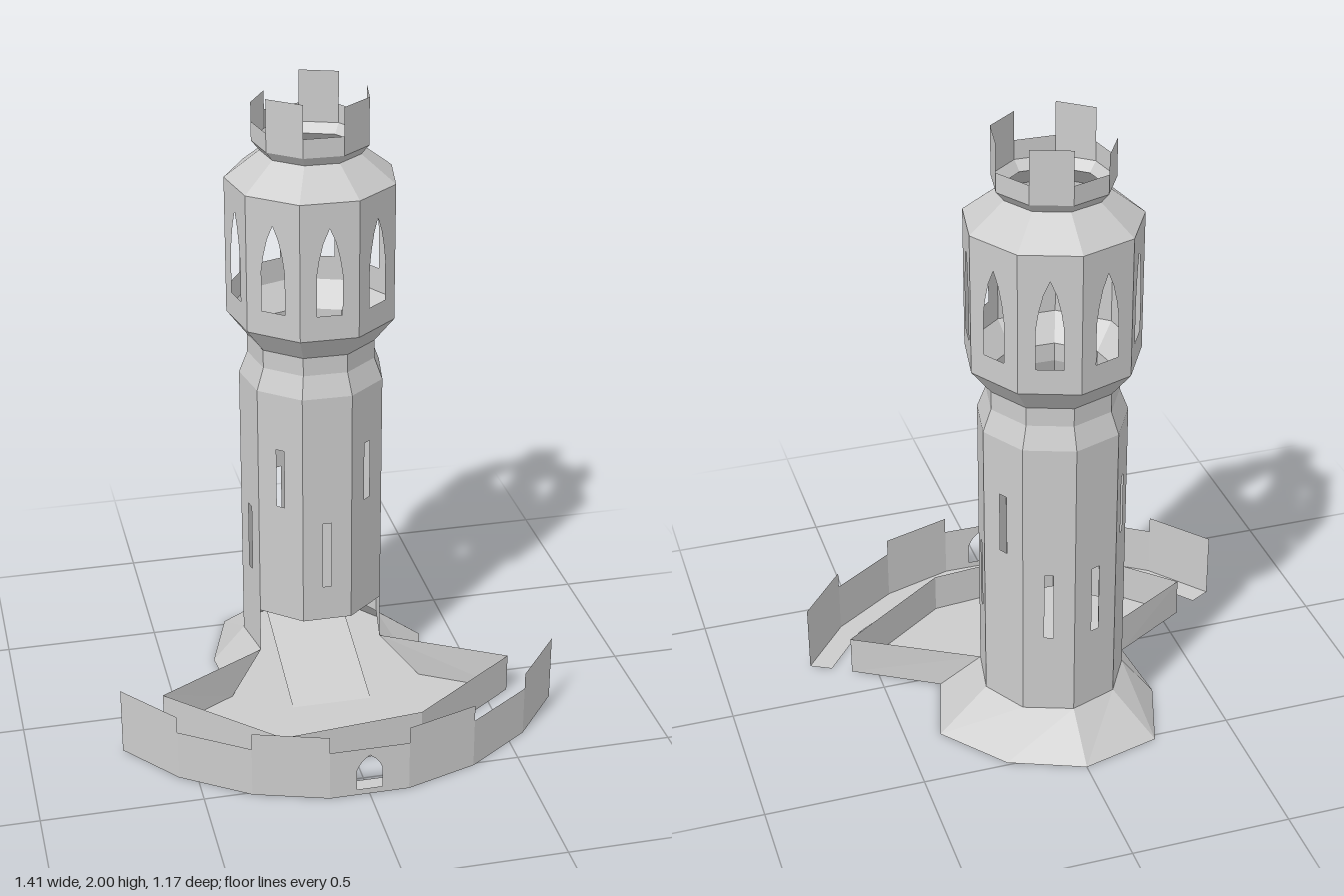
import * as THREE from 'three';

const SIDES = 9, STEP = Math.PI * 2 / SIDES, CZ = -0.22;
const mat = new THREE.MeshStandardMaterial({ color: 0xcccccc, flatShading: true, side: THREE.DoubleSide });

export function createModel() {
  const model = new THREE.Group();

  const add = (name, geometry, parent = model) => {
    const mesh = new THREE.Mesh(geometry, mat);
    mesh.name = name;
    parent.add(mesh);
    return mesh;
  };
  const group = (name) => {
    const g = new THREE.Group();
    g.name = name;
    model.add(g);
    return g;
  };
  const shapeOf = (pts) => new THREE.Shape(pts.map(([x, y]) => new THREE.Vector2(x, y)));
  const rect = (x0, x1, y0, y1) => [[x0, y0], [x1, y0], [x1, y1], [x0, y1]];

  // Flat panel with optional hole
  const panel = (halfWidth, y0, y1, hole) => {
    const s = shapeOf(rect(-halfWidth, halfWidth, y0, y1));
    if (hole) s.holes.push(shapeOf(hole));
    return new THREE.ShapeGeometry(s);
  };
  // Pointed arch outline
  const arch = (w, y0, spring, top) => [
    [-w, y0], [w, y0], [w, spring], [w * 0.8, spring + (top - spring) * 0.35],
    [w * 0.48, spring + (top - spring) * 0.7], [0, top],
    [-w * 0.48, spring + (top - spring) * 0.7], [-w * 0.8, spring + (top - spring) * 0.35], [-w, spring]];
  // Quad strip surface from four corners
  const quad = (a, b, c, d) => {
    const g = new THREE.BufferGeometry();
    g.setAttribute('position', new THREE.Float32BufferAttribute([...a, ...b, ...c, ...d], 3));
    g.setIndex([0, 1, 2, 0, 2, 3]);
    g.computeVertexNormals();
    return g;
  };

  // Angles are counted from the back; face i sits between corners i and i + 1
  const faceAngle = (i) => (i + 0.5) * STEP;
  const corner = (i, r, y) => [r * Math.sin(i * STEP), y, CZ - r * Math.cos(i * STEP)];
  const towerFace = (name, parent, i, r, y0, y1, hole) => {
    const a = faceAngle(i), ap = r * Math.cos(STEP / 2);
    const m = add(name, panel(r * Math.sin(STEP / 2), y0, y1, hole), parent);
    m.position.set(ap * Math.sin(a), 0, CZ - ap * Math.cos(a));
    m.rotation.y = Math.PI - a;
  };
  const ring = (name, r0, y0, r1, y1) => {
    const g = new THREE.CylinderGeometry(r1, r0, y1 - y0, SIDES, 1, true, Math.PI);
    add(name, g).position.set(0, (y0 + y1) / 2, CZ);
  };

  // Shaft: slits alternate in height, three front faces stop above the entrance
  const R = 0.232, shaft = group('shaft'), gallery = group('gallery'), parapet = group('parapet');
  const merlonTop = [2.0, 1.895, 1.985, 1.985, 1.895, 2.0, 1.895, 1.955, 1.895];
  for (let i = 0; i < SIDES; i++) {
    const low = Math.min(i, SIDES - 1 - i) % 2 === 0;
    const slit = low ? rect(-0.014, 0.014, 0.4, 0.63) : rect(-0.014, 0.014, 0.68, 0.88);
    towerFace('shaftWall', shaft, i, R, i >= 3 && i <= 5 ? 0.28 : 0.13, 1.07, slit);
    towerFace('galleryWall', gallery, i, 0.268, 1.28, 1.72, arch(0.04, 1.36, 1.49, 1.64));
    towerFace('parapetWall', parapet, i, 0.183, 1.835, merlonTop[i]);
  }

  // Sloping rings between the vertical stages
  ring('shaftShoulder', R, 1.07, 0.205, 1.14);
  ring('neck', 0.205, 1.14, 0.205, 1.2);
  ring('galleryCorbel', 0.205, 1.2, 0.268, 1.28);
  ring('galleryRoof', 0.268, 1.72, 0.158, 1.805);
  ring('parapetCorbel', 0.158, 1.805, 0.183, 1.835);

  // Rocky skirt around the foot, uneven, from corner -3 to corner 3
  const foot = [[-0.31, -0.045], [-0.33, -0.28], [-0.25, -0.52], [0, -0.585], [0.23, -0.49], [0.39, -0.29], [0.32, -0.04]];
  const skirt = group('skirt');
  for (let k = 0; k < 6; k++) {
    const [x0, z0] = foot[k], [x1, z1] = foot[k + 1];
    add('skirtFace', quad([x1, 0, z1], [x0, 0, z0], corner(k - 3, R, 0.13), corner(k - 2, R, 0.13)), skirt);
  }

  // Open terrace in front of the tower
  const H = 0.13;
  const rim = [[0.58, 0.115], [0.22, 0.375], [-0.235, 0.42], [-0.56, 0.1]];
  const terrace = group('terrace');
  const floor = add('terraceFloor', new THREE.ShapeGeometry(shapeOf([...foot, ...rim].map(([x, z]) => [x, -z]))), terrace);
  floor.rotation.x = -Math.PI / 2;
  const low = [foot[6], ...rim, foot[0]].map(([x, z]) => [x, 0, z]);
  const high = [corner(3, R, H), ...rim.map(([x, z]) => [x, H, z]), corner(-3, R, H)];
  for (let k = 0; k < 5; k++) add('terraceWall', quad(low[k + 1], low[k], high[k], high[k + 1]), terrace);

  // Entrance ramp running into the tower
  add('entranceRamp', quad([-0.13, 0, 0.065], [0.13, 0, 0.065], [0.13, H, -0.395], [-0.13, H, -0.395]));

  // Curved outer wall, every other section raised, gate in the middle
  const mirror = (half) => [...half.map(([x, z]) => [-x, z]), ...half.slice().reverse()];
  const outer = mirror([[0.705, 0.185], [0.557, 0.37], [0.352, 0.51], [0.125, 0.583]]);
  const inner = mirror([[0.64, 0.15], [0.505, 0.32], [0.322, 0.445], [0.11, 0.51]]);
  const wall = group('outerWall');
  for (let k = 0; k < 7; k++) {
    const [x0, z0] = outer[k], [x1, z1] = outer[k + 1];
    const hole = k === 3 ? arch(0.04, 0.02, 0.09, 0.14) : null;
    const m = add('outerWallSection', panel(Math.hypot(x1 - x0, z1 - z0) / 2, 0, k % 2 ? 0.165 : 0.22, hole), wall);
    m.position.set((x0 + x1) / 2, 0, (z0 + z1) / 2);
    m.rotation.y = -Math.atan2(z1 - z0, x1 - x0);
    const [a, b] = [inner[k], inner[k + 1]];
    add('outerWallFloor', quad([x0, 0, z0], [x1, 0, z1], [b[0], 0, b[1]], [a[0], 0, a[1]]), wall);
  }

  return model;
}
